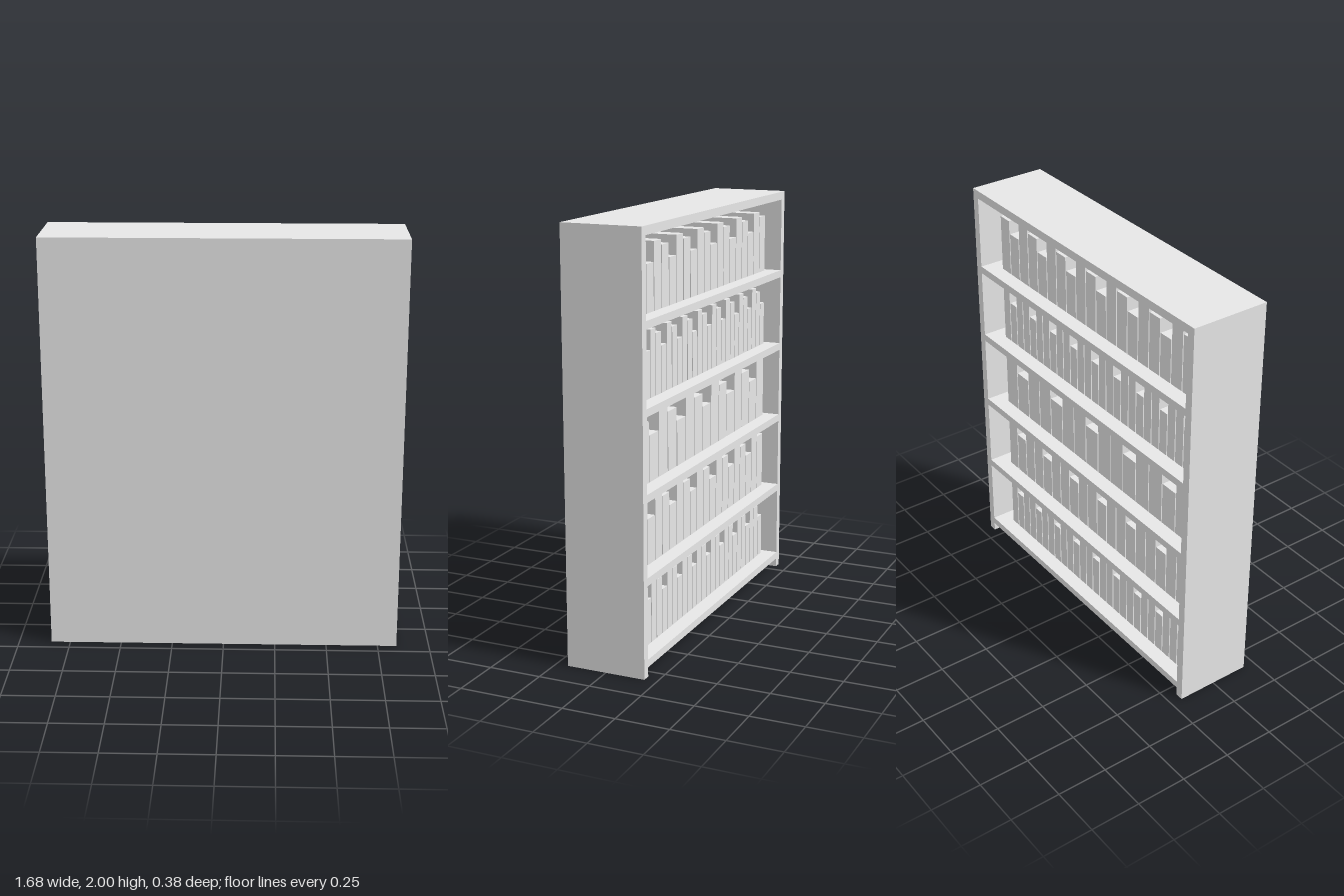
import * as THREE from 'three';

export function createModel() {
  const group = new THREE.Group();
  group.name = 'bookcase';
  const grey = new THREE.MeshStandardMaterial({ color: 0xe7e7e7 });
  grey.name = 'pale grey';

  // Box given by its minimum and maximum corners
  const box = (name, x0, x1, y0, y1, z0, z1, parent = group) => {
    const mesh = new THREE.Mesh(new THREE.BoxGeometry(x1 - x0, y1 - y0, z1 - z0), grey);
    mesh.position.set((x0 + x1) / 2, (y0 + y1) / 2, (z0 + z1) / 2);
    mesh.name = name;
    parent.add(mesh);
  };

  const W = 0.842, D = 0.191, T = 0.04, inner = W - T, panelZ = 0.148;

  // Carcass: the closed panel faces +z, the shelves open towards -z
  box('leftSide', inner, W, 0, 2, -D, D);
  box('rightSide', -W, -inner, 0, 2, -D, D);
  box('topBoard', -inner, inner, 2 - T, 2, -D, D);
  box('closedPanel', -inner, inner, 0, 2 - T, panelZ, D);

  // Shelves, each with a row of upright books in a repeating medium, low, tall rhythm
  const counts = [26, 19, 15, 26, 19];
  const heights = [0.28, 0.215, 0.305];
  const startX = 0.722, endX = -0.766, gap = 0.006, bookZ = 0.118;
  counts.forEach((count, row) => {
    const y = 0.08 + row * 0.38;
    box('shelf', -inner, inner, y - 0.036, y, -D, panelZ);

    const books = new THREE.Group();
    books.name = 'bookRow';
    group.add(books);
    const pitch = (startX - endX) / count;
    for (let i = 0; i < count; i++) {
      const x = startX - i * pitch;
      box('book', x - pitch + gap, x, y, y + heights[i % 3], -bookZ, bookZ, books);
    }
  });

  return group;
}
